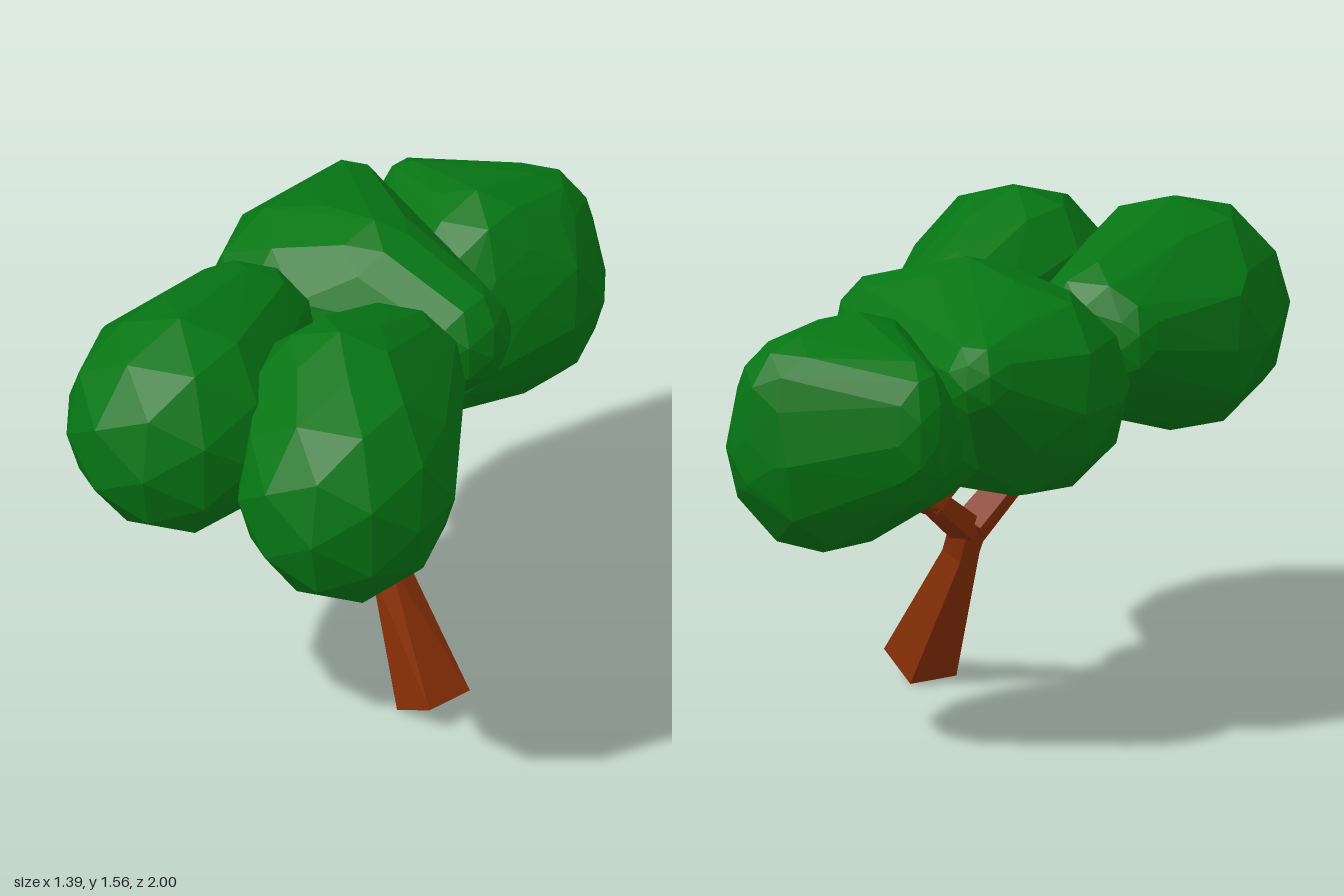
import * as THREE from 'three';
import { ConvexGeometry } from 'three/addons/geometries/ConvexGeometry.js';

const V = (a) => new THREE.Vector3(...a);

// Points of a low-poly ellipsoid
function ellipsoid([centre, radii]) {
  const p = new THREE.IcosahedronGeometry(1, 1).attributes.position;
  const seen = new Map();
  for (let i = 0; i < p.count; i++) {
    const v = new THREE.Vector3().fromBufferAttribute(p, i);
    const key = v.toArray().map((n) => Math.round(n * 1000)).join();
    if (!seen.has(key)) seen.set(key, v.multiply(V(radii)).add(V(centre)));
  }
  return [...seen.values()];
}

// Square cross-section around a point, facing along dir
function ring(centre, r, dir) {
  const q = new THREE.Quaternion().setFromUnitVectors(new THREE.Vector3(0, 1, 0), dir);
  return [0, 1, 2, 3].map((i) => {
    const a = Math.PI / 4 + i * Math.PI / 2;
    return new THREE.Vector3(Math.cos(a) * r, 0, Math.sin(a) * r).applyQuaternion(q).add(V(centre));
  });
}

export function createModel() {
  const model = new THREE.Group();
  const bark = new THREE.MeshStandardMaterial({ color: 0x882f06, flatShading: true });
  const leaf = new THREE.MeshStandardMaterial({ color: 0x067514, flatShading: true });

  const hull = (name, points, material) => {
    const mesh = new THREE.Mesh(new ConvexGeometry(points), material);
    mesh.name = name;
    model.add(mesh);
  };
  const limb = (name, from, r0, to, r1) => {
    const dir = V(to).sub(V(from)).normalize();
    hull(name, [...ring(from, r0, dir), ...ring(to, r1, dir)], bark);
  };

  // Leaning trunk with a tilted square foot
  const foot = [[0.30, 0, 0.25], [0.40, 0, 0.11], [0.52, 0.08, 0.19], [0.43, 0.08, 0.33]].map(V);
  const neck = [[0.175, 0.45, 0.13], [0.21, 0.43, 0.05], [0.28, 0.46, 0.08], [0.25, 0.48, 0.15]].map(V);
  const fork = [[0.15, 0.53, 0.14], [0.18, 0.53, 0.03], [0.235, 0.57, 0.03], [0.215, 0.575, 0.12]].map(V);
  hull('trunk', [...foot, ...neck], bark);
  hull('trunkFork', [...neck, ...fork], bark);

  // Branches reaching into the crowns
  limb('frontBranch', [0.19, 0.54, 0.09], 0.065, [0.02, 0.81, 0.37], 0.05);
  limb('frontLeftTwig', [0.03, 0.79, 0.36], 0.045, [0.15, 0.92, 0.45], 0.03);
  limb('frontRightTwig', [0.03, 0.79, 0.36], 0.045, [-0.12, 0.97, 0.46], 0.03);
  limb('backBranch', [0.2, 0.54, 0.07], 0.055, [0.2, 0.71, -0.22], 0.045);
  limb('backLeftTwig', [0.2, 0.7, -0.2], 0.05, [0.26, 0.79, -0.4], 0.04);
  limb('backRightTwig', [0.2, 0.7, -0.2], 0.05, [0.06, 0.86, -0.28], 0.04);

  // Each crown is one skin over a few balls: [centre, radii]
  const crowns = {
    frontRightCrown: [
      [[-0.33, 1.19, 0.52], [0.36, 0.37, 0.39]],
      [[-0.36, 1.16, 0.4], [0.34, 0.33, 0.3]],
      [[-0.25, 1.21, 0.06], [0.23, 0.25, 0.17]],
      [[-0.38, 1.22, 0.04], [0.12, 0.17, 0.13]],
    ],
    frontLeftCrown: [
      [[0.25, 1.12, 0.61], [0.35, 0.39, 0.39]],
      [[0.17, 1.24, 0.44], [0.3, 0.32, 0.3]],
      [[0.24, 1.2, 0.11], [0.24, 0.23, 0.17]],
    ],
    backLeftCrown: [
      [[0.38, 1.01, -0.69], [0.31, 0.36, 0.31]],
      [[0.43, 1.0, -0.8], [0.21, 0.24, 0.19]],
      [[0.42, 1.18, -0.79], [0.2, 0.2, 0.19]],
      [[0.3, 1.15, -0.6], [0.25, 0.27, 0.25]],
      [[0.03, 1.1, -0.8], [0.13, 0.24, 0.14]],
      [[0.27, 0.97, -0.38], [0.22, 0.22, 0.18]],
      [[0.15, 0.96, -0.38], [0.18, 0.19, 0.18]],
    ],
    backRightCrown: [
      [[-0.11, 1.13, -0.3], [0.37, 0.35, 0.36]],
      [[-0.13, 1.25, -0.62], [0.14, 0.15, 0.15]],
      [[0.08, 1.31, -0.22], [0.21, 0.21, 0.21]],
      [[0.38, 1.22, -0.11], [0.18, 0.19, 0.18]],
    ],
  };
  for (const [name, balls] of Object.entries(crowns)) hull(name, balls.flatMap(ellipsoid), leaf);
  return model;
}
